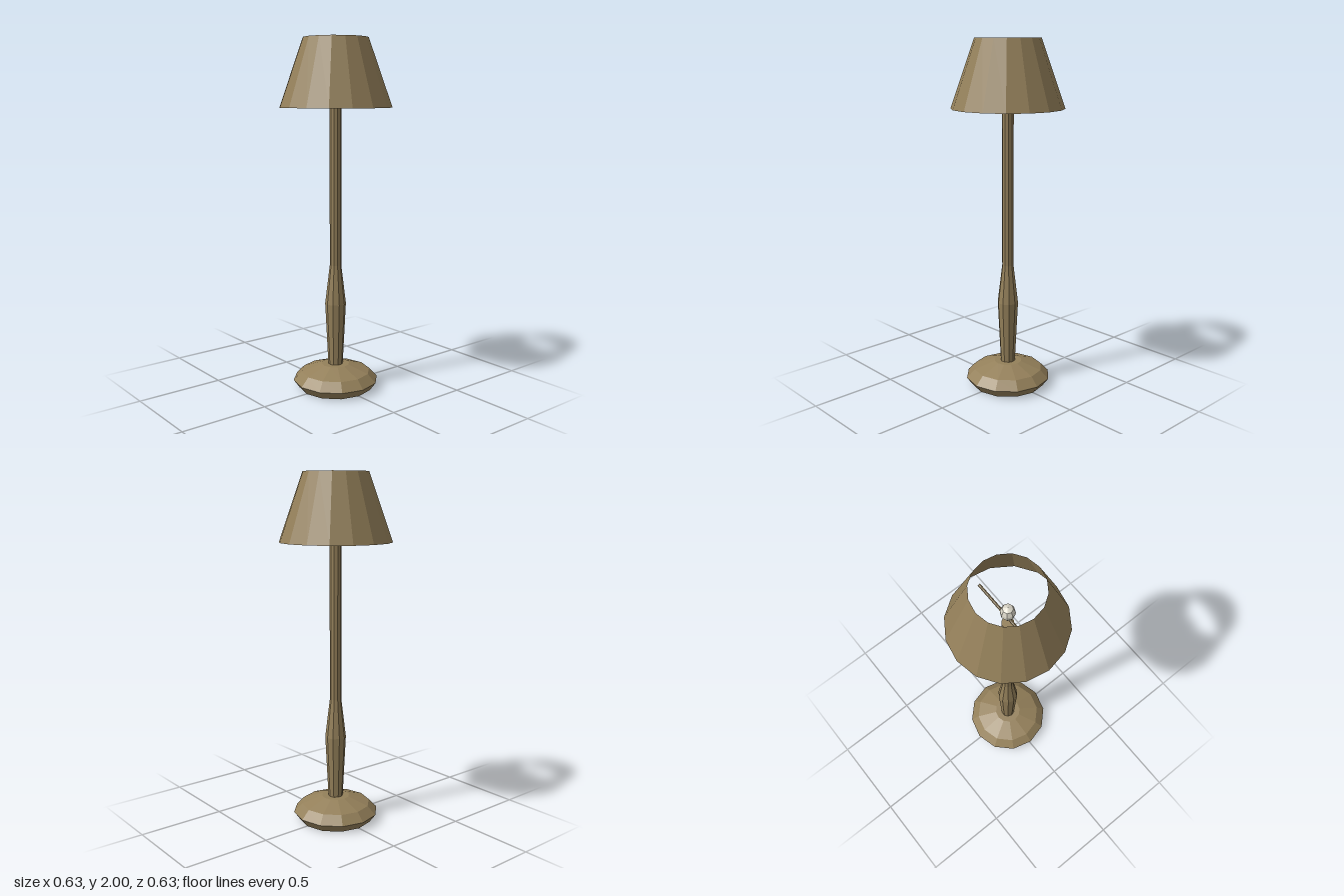
import * as THREE from 'three';

const wood = new THREE.MeshStandardMaterial({ color: 0x94805a, flatShading: true });
wood.name = 'tan wood';
const shadeTan = wood.clone();
shadeTan.name = 'tan shade';
shadeTan.side = THREE.DoubleSide;
const glass = new THREE.MeshStandardMaterial({ color: 0xdad6c8, flatShading: true });
glass.name = 'pale glass';

// Turned part from [radius, height] pairs, listed bottom to top
function turned(name, profile, sides, material) {
  const points = profile.map(([r, y]) => new THREE.Vector2(r, y));
  const mesh = new THREE.Mesh(new THREE.LatheGeometry(points, sides, Math.PI / 2), material);
  mesh.name = name;
  return mesh;
}

export function createModel() {
  const lamp = new THREE.Group();
  lamp.name = 'floorLamp';

  // Faceted foot
  lamp.add(turned('base', [[0, 0], [0.212, 0], [0.247, 0.047], [0.2, 0.096], [0.08, 0.138], [0, 0.138]], 12, wood));

  // Column with a swollen grip, tapering into the straight pole
  lamp.add(turned('column', [[0.042, 0.135], [0.06, 0.5], [0.033, 0.725], [0.033, 1.63], [0, 1.63]], 10, wood));

  // Open lampshade
  lamp.add(turned('lampshade', [[0.316, 1.62], [0.182, 2]], 16, shadeTan));

  // Thin crossbar inside the shade
  const bar = new THREE.Mesh(new THREE.CylinderGeometry(0.008, 0.008, 0.45, 8), wood);
  bar.name = 'crossbar';
  bar.rotation.z = Math.PI / 2;
  bar.position.y = 1.69;
  lamp.add(bar);

  // Bulb resting on the crossbar
  lamp.add(turned('bulb', [[0, 1.69], [0.022, 1.7], [0.038, 1.74], [0.038, 1.765], [0.027, 1.795], [0, 1.806]], 8, glass));

  return lamp;
}
